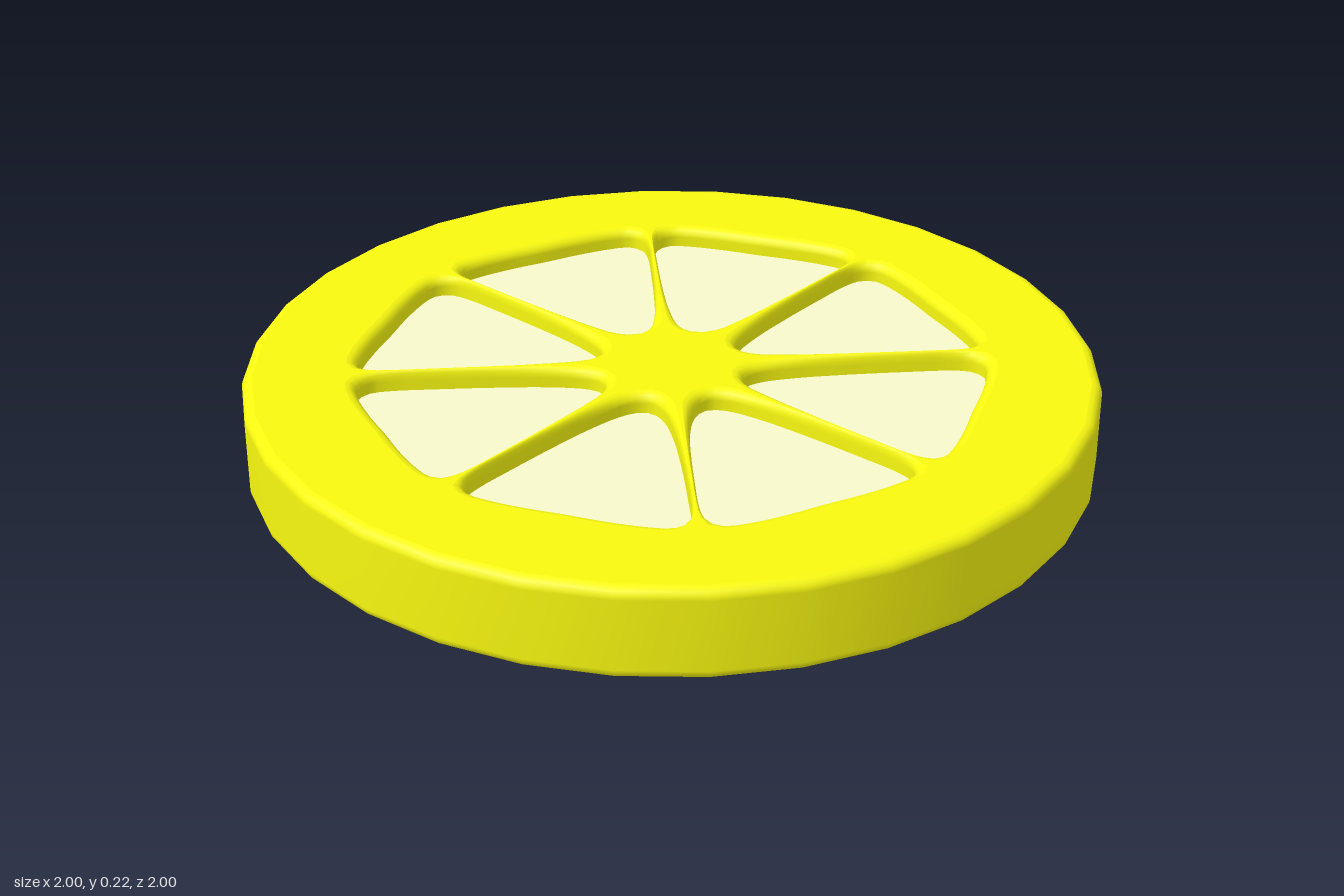
import * as THREE from 'three';

const H = 0.22, BEVEL = 0.025, SIDES = 32, HOLES = 8, STEPS = 72;
const PANEL_LOW = 0.05, PANEL_HIGH = 0.17;

// Half outline of one segment hole: [distance along spoke, distance off spoke]
const HALF = [[0.161, 0.067], [0.178, 0.047], [0.215, 0.031], [0.3, 0.0175], [0.42, 0.0105],
  [0.56, 0.008], [0.66, 0.009], [0.708, 0.019], [0.734, 0.05], [0.728, 0.1], [0.698, 0.19], [0.662, 0.274]];

// Closed, smooth outline: half points plus their mirror about the segment's middle
function holeOutline() {
  const wedge = 2 * Math.PI / HOLES;
  const pts = HALF.map(([s, d]) => new THREE.Vector3(s, d, 0));
  const mirrored = pts.slice(1, -1).reverse().map(p => {
    const r = p.length(), a = wedge - Math.atan2(p.y, p.x);
    return new THREE.Vector3(r * Math.cos(a), r * Math.sin(a), 0);
  });
  const curve = new THREE.CatmullRomCurve3([...pts, ...mirrored], true, 'centripetal');
  return curve.getSpacedPoints(STEPS).slice(0, STEPS).map(p => new THREE.Vector2(p.x, p.y));
}

// Widen the outline away from the hole; thin spokes get a narrower bevel
function widenOutline(outline, amount) {
  const wedge = 2 * Math.PI / HOLES;
  return outline.map((p, i) => {
    const a = outline[(i + STEPS - 1) % STEPS], b = outline[(i + 1) % STEPS];
    const n = new THREE.Vector2(b.y - a.y, a.x - b.x).normalize();
    const angle = Math.atan2(p.y, p.x);
    const gap = p.length() * Math.sin(Math.min(angle, wedge - angle));
    return p.clone().addScaledVector(n, amount * Math.min(BEVEL, gap * 0.75));
  });
}

// Rounded wall around a hole, built from stacked outlines
function holeWall(outline) {
  const levels = [];
  for (let k = 0; k <= 4; k++) {
    const a = k * Math.PI / 8;
    levels.push([BEVEL * (1 - Math.sin(a)), 1 - Math.cos(Math.PI / 2 - a)]);
  }
  for (const l of levels) l[1] = 1 - Math.sqrt(Math.max(0, 1 - (l[0] / BEVEL) ** 2));
  const profile = [...levels.slice().reverse().map(([y, w]) => [BEVEL - (BEVEL - y), w])].reverse();
  const full = [...profile.slice().sort((p, q) => p[0] - q[0]).map(([y]) => {
    const t = 1 - y / BEVEL;
    return [y, 1 - Math.sqrt(Math.max(0, 1 - t * t))];
  })];
  const rows = [...full, ...full.slice().reverse().map(([y, w]) => [H - y, w])];
  const pos = [], idx = [];
  for (const [y, w] of rows) for (const p of widenOutline(outline, w)) pos.push(p.x, p.y, y);
  for (let j = 0; j < rows.length - 1; j++) for (let i = 0; i < STEPS; i++) {
    const a = j * STEPS + i, b = j * STEPS + (i + 1) % STEPS;
    idx.push(a, a + STEPS, b, b, a + STEPS, b + STEPS);
  }
  const g = new THREE.BufferGeometry();
  g.setAttribute('position', new THREE.Float32BufferAttribute(pos, 3));
  g.setIndex(idx);
  g.computeVertexNormals();
  return g.rotateX(-Math.PI / 2);
}

export function createModel() {
  const model = new THREE.Group();
  model.name = 'citrusSlice';
  const rindMat = new THREE.MeshStandardMaterial({ color: 0xf8f810 });
  const pulpMat = new THREE.MeshStandardMaterial({ color: 0xf8f8cc });
  const add = (name, geometry, material) => {
    const mesh = new THREE.Mesh(geometry, material);
    mesh.name = name;
    model.add(mesh);
    return mesh;
  };

  // Outer rim with rounded edges
  const rim = [];
  for (let k = 0; k <= 4; k++) {
    const a = k * Math.PI / 8;
    rim.push(new THREE.Vector2(1 - BEVEL + BEVEL * Math.sin(a), BEVEL * (1 - Math.cos(a))));
  }
  const upper = rim.slice().reverse().map(p => new THREE.Vector2(p.x, H - p.y));
  add('outerRim', new THREE.LatheGeometry([...rim, ...upper], SIDES), rindMat);

  // Flat faces: a polygon pierced by the segment holes
  const outline = holeOutline();
  const wide = widenOutline(outline, 1);
  const face = new THREE.Shape(Array.from({ length: SIDES }, (_, i) => {
    const a = i * 2 * Math.PI / SIDES;
    return new THREE.Vector2((1 - BEVEL) * Math.cos(a), (1 - BEVEL) * Math.sin(a));
  }));
  for (let i = 0; i < HOLES; i++) {
    const a = i * 2 * Math.PI / HOLES;
    face.holes.push(new THREE.Path(wide.map(p => p.clone().rotateAround(new THREE.Vector2(), a))));
  }
  add('topFace', new THREE.ShapeGeometry(face).rotateX(-Math.PI / 2).translate(0, H, 0), rindMat);
  add('bottomFace', new THREE.ShapeGeometry(face).rotateX(Math.PI / 2), rindMat);

  // Hole walls and the recessed pulp panels
  const wall = holeWall(outline);
  const pulp = new THREE.ExtrudeGeometry(new THREE.Shape(outline),
    { depth: PANEL_HIGH - PANEL_LOW, bevelEnabled: false })
    .rotateX(-Math.PI / 2).translate(0, PANEL_LOW, 0);
  for (let i = 0; i < HOLES; i++) {
    const a = i * 2 * Math.PI / HOLES;
    add('segmentWall' + (i + 1), wall, rindMat).rotation.y = a;
    add('pulpPanel' + (i + 1), pulp, pulpMat).rotation.y = a;
  }
  return model;
}
